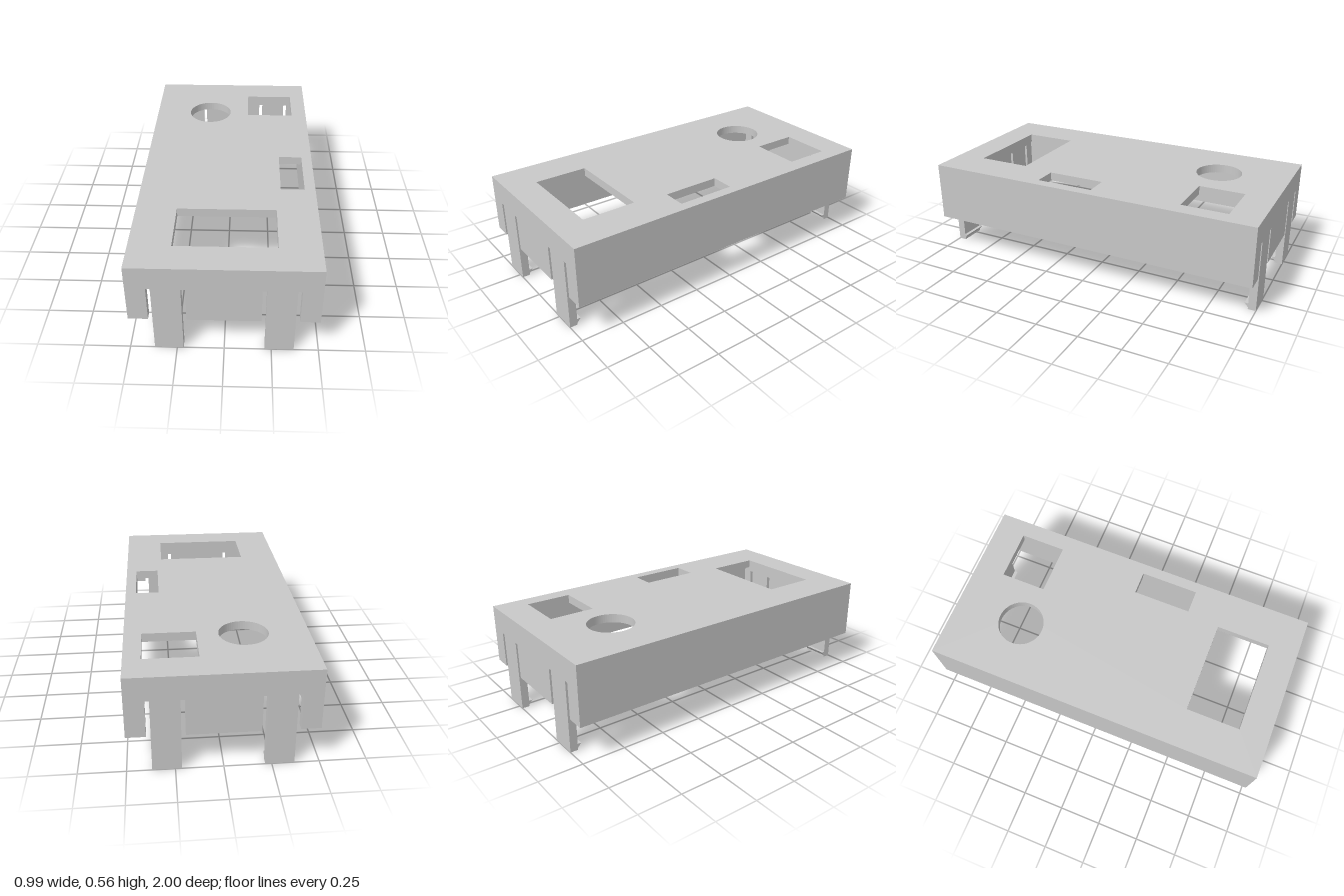
import * as THREE from 'three';

const W = 0.497, L = 1, TOP = 0.556, RIM = 0.21, WALL = 0.045, PLATE = 0.05;
const UNDER = TOP - PLATE; // underside of the top plate
const LEG_X = 0.2925, LEG_HALF = 0.0765, SLOT_HALF = 0.0995, SLOT_TOP = 0.42;

const poly = (points) => new THREE.Shape(points.map(([x, y]) => new THREE.Vector2(x, y)));
const rect = (x0, x1, y0, y1) => poly([[x0, y0], [x1, y0], [x1, y1], [x0, y1]]);
const extrude = (shape, depth) =>
  new THREE.ExtrudeGeometry(shape, { depth, bevelEnabled: false, curveSegments: 32 });

export function createModel() {
  const model = new THREE.Group();
  model.name = 'snapOnCover';
  const grey = new THREE.MeshStandardMaterial({ color: 0xc8c8c8 });
  grey.name = 'lightGrey';

  const add = (name, geometry, parent = model) => {
    const mesh = new THREE.Mesh(geometry, grey);
    mesh.name = name;
    parent.add(mesh);
    return mesh;
  };

  // Top plate with its openings, drawn in x and -z and laid flat
  const plate = rect(-W, W, -L, L);
  const opening = (x0, x1, z0, z1) => plate.holes.push(rect(x0, x1, -z1, -z0));
  opening(-0.272, 0.272, 0.51, 0.825);
  opening(0.3, 0.436, -0.03, 0.312);
  opening(0.11, 0.403, -0.823, -0.555);
  plate.holes.push(new THREE.Path().absarc(-0.143, 0.588, 0.135, 0, Math.PI * 2, true));
  const top = add('topPlate', extrude(plate, PLATE).rotateX(-Math.PI / 2));
  top.position.y = UNDER;

  // Long side walls
  for (const side of [-1, 1]) {
    const wall = add(side > 0 ? 'leftWall' : 'rightWall',
      new THREE.BoxGeometry(WALL, UNDER - RIM, 2 * (L - WALL)));
    wall.position.set(side * (W - WALL / 2), (UNDER + RIM) / 2, 0);
  }

  // End wall outline: slots free two spring legs that reach the ground
  const outline = [[-W, RIM]];
  for (const c of [-LEG_X, LEG_X]) {
    outline.push(
      [c - SLOT_HALF, RIM], [c - SLOT_HALF, SLOT_TOP], [c - LEG_HALF, SLOT_TOP], [c - LEG_HALF, 0],
      [c + LEG_HALF, 0], [c + LEG_HALF, SLOT_TOP], [c + SLOT_HALF, SLOT_TOP], [c + SLOT_HALF, RIM]);
  }
  outline.push([W, RIM], [W, UNDER], [-W, UNDER]);
  const endGeometry = extrude(poly(outline), WALL);

  // Snap hook wedge, its profile running inward from the leg
  const hookGeometry = extrude(poly([[0, 0.012], [0.021, 0.036], [0, 0.036]]), 2 * LEG_HALF);
  hookGeometry.translate(0, 0, -LEG_HALF).rotateY(Math.PI / 2);

  for (const [name, turn] of [['frontEnd', 0], ['backEnd', Math.PI]]) {
    const end = new THREE.Group();
    end.name = name;
    end.rotation.y = turn;
    add('endWallWithLegs', endGeometry, end).position.z = L - WALL;
    for (const x of [-LEG_X, LEG_X]) {
      add('snapHook', hookGeometry, end).position.set(x, 0, L - WALL);
    }
    model.add(end);
  }
  return model;
}
